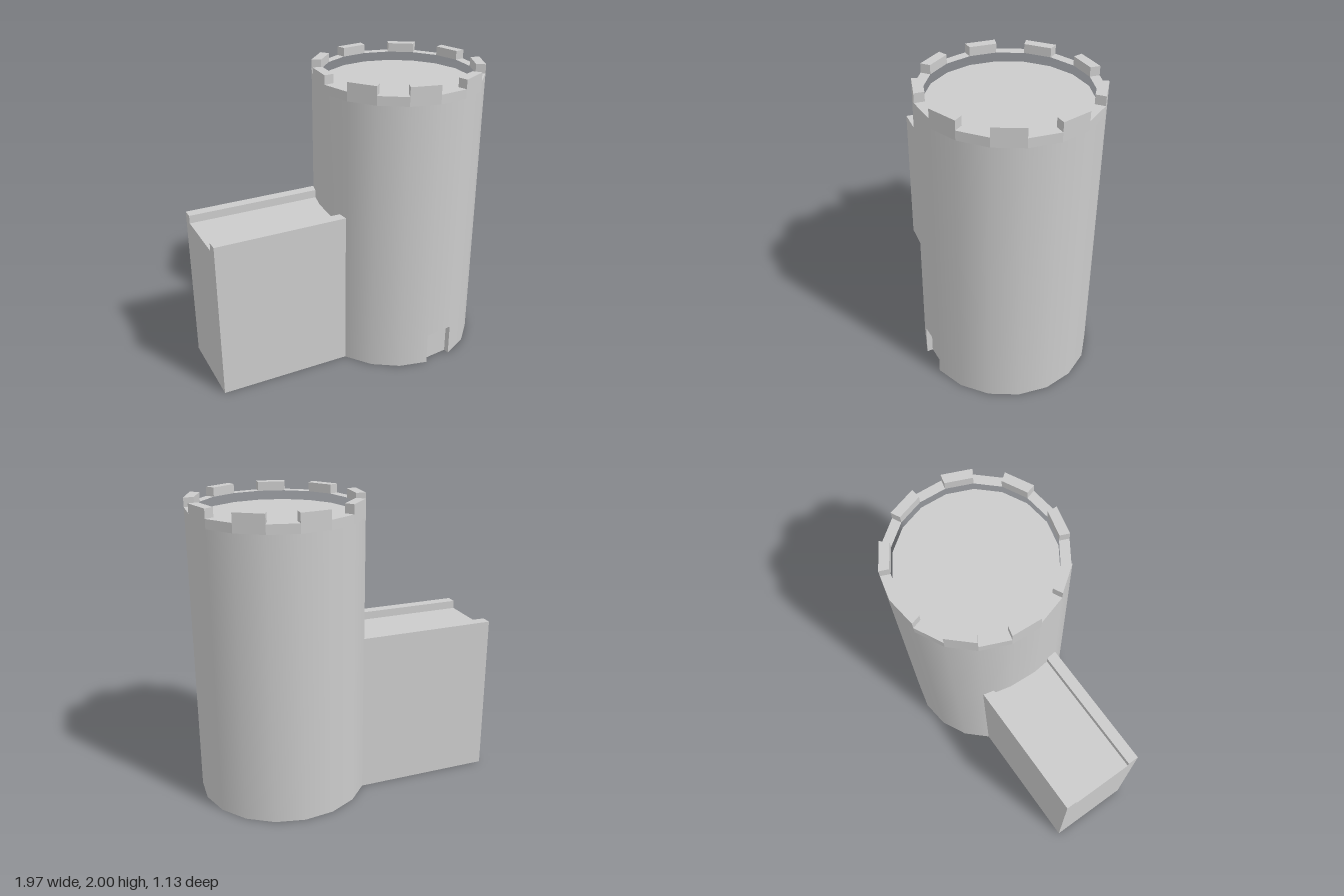
import * as THREE from 'three';

const SIDES = 18, R = 0.567, R_IN = 0.503, CX = 0.418;
const RAD = Math.PI / 180;
const DOOR = { index: 4, height: 0.22, depth: 0.04 };
const WALK_Y = 1.88, CRENEL_Y = 1.94, TOP_Y = 2;

// Corner k of the tower outline; sign = -1 for shapes that get laid down facing up
function corner(k, r, sign = -1) {
  const a = (-7 + (k * 360) / SIDES) * RAD;
  return new THREE.Vector2(r * Math.cos(a), sign * r * Math.sin(a));
}
const outline = (r) => Array.from({ length: SIDES }, (_, k) => corner(k, r));

function slab(shape, height, y) {
  const g = new THREE.ExtrudeGeometry(shape, { depth: height, bevelEnabled: false });
  return g.rotateX(-Math.PI / 2).translate(0, y, 0);
}

export function createModel() {
  const model = new THREE.Group();
  model.name = 'castleTower';
  const smooth = new THREE.MeshStandardMaterial({ color: 0xcccccc });
  const flat = new THREE.MeshStandardMaterial({ color: 0xcccccc, flatShading: true });
  const add = (parent, name, geometry, material = flat) => {
    const mesh = new THREE.Mesh(geometry, material);
    mesh.name = name;
    parent.add(mesh);
    return mesh;
  };

  const tower = new THREE.Group();
  tower.name = 'tower';
  tower.position.x = CX;
  model.add(tower);

  // Lower shaft, one side left out for the doorway
  const doorEnd = 17 * RAD;
  const lower = new THREE.CylinderGeometry(R, R, DOOR.height, SIDES - 1, 1, true, doorEnd, 340 * RAD);
  add(tower, 'lowerShaft', lower.translate(0, DOOR.height / 2, 0), smooth);

  // Upper shaft, pulled in slightly where it meets the wall
  const h = WALK_Y - DOOR.height;
  const upper = new THREE.CylinderGeometry(R, R, h, SIDES, 2, true, doorEnd);
  upper.translate(0, DOOR.height + h / 2, 0);
  const p = upper.attributes.position;
  for (let i = 0; i < p.count; i++) {
    const y = p.getY(i);
    if (p.getX(i) < -0.53 && y > 0.5 && y < 1.5) p.setX(i, p.getX(i) + 0.035);
  }
  add(tower, 'upperShaft', upper, smooth);

  // Recessed doorway
  const width = 2 * R * Math.sin(Math.PI / SIDES);
  const face = R * Math.cos(Math.PI / SIDES);
  const doorway = new THREE.Group();
  doorway.name = 'doorway';
  doorway.rotation.y = 7 * RAD;
  tower.add(doorway);
  add(doorway, 'door', new THREE.PlaneGeometry(width, DOOR.height)).position.set(0, DOOR.height / 2, face - DOOR.depth);
  for (const s of [-1, 1]) {
    const jamb = add(doorway, 'doorJamb', new THREE.PlaneGeometry(DOOR.depth, DOOR.height));
    jamb.rotation.y = (-s * Math.PI) / 2;
    jamb.position.set((s * width) / 2, DOOR.height / 2, face - DOOR.depth / 2);
  }
  const lintel = add(doorway, 'lintel', new THREE.PlaneGeometry(width, DOOR.depth));
  lintel.rotation.x = Math.PI / 2;
  lintel.position.set(0, DOOR.height, face - DOOR.depth / 2);

  // Underside with the door notch
  const mid = 83 * RAD;
  const inward = new THREE.Vector2(-Math.cos(mid), -Math.sin(mid)).multiplyScalar(DOOR.depth);
  const base = [];
  for (let k = 0; k < SIDES; k++) {
    const c = corner(k, R, 1);
    if (k === DOOR.index + 1) base.push(c.clone().add(inward));
    base.push(c);
    if (k === DOOR.index) base.push(c.clone().add(inward));
  }
  add(tower, 'underside', new THREE.ShapeGeometry(new THREE.Shape(base)).rotateX(Math.PI / 2));

  // Roof floor and parapet ring
  const roof = new THREE.ShapeGeometry(new THREE.Shape(outline(R_IN)));
  add(tower, 'roofFloor', roof.rotateX(-Math.PI / 2).translate(0, WALK_Y, 0));
  const ring = new THREE.Shape(outline(R));
  ring.holes.push(new THREE.Path(outline(R_IN)));
  add(tower, 'parapetRing', slab(ring, CRENEL_Y - WALK_Y, WALK_Y));

  // Merlons on every second side
  for (let k = 1; k < SIDES; k += 2) {
    const quad = [corner(k, R), corner(k + 1, R), corner(k + 1, R_IN), corner(k, R_IN)];
    add(tower, 'merlon', slab(new THREE.Shape(quad), TOP_Y - CRENEL_Y, CRENEL_Y));
  }

  // Curtain wall: cross-section with a sunken walkway, run along x into the tower
  const front = 0.252, back = -0.315, lip = 0.073, top = 1.09, walk = 1.035;
  const profile = [
    [back, 0], [front, 0], [front, top], [front - lip, top],
    [front - lip, walk], [back + lip, walk], [back + lip, top], [back, top],
  ].map(([z, y]) => new THREE.Vector2(-z, y));
  const left = -0.985, right = -0.045;
  const wall = new THREE.ExtrudeGeometry(new THREE.Shape(profile), { depth: right - left, bevelEnabled: false });
  add(model, 'curtainWall', wall.rotateY(Math.PI / 2).translate(left, 0, 0));

  return model;
}
